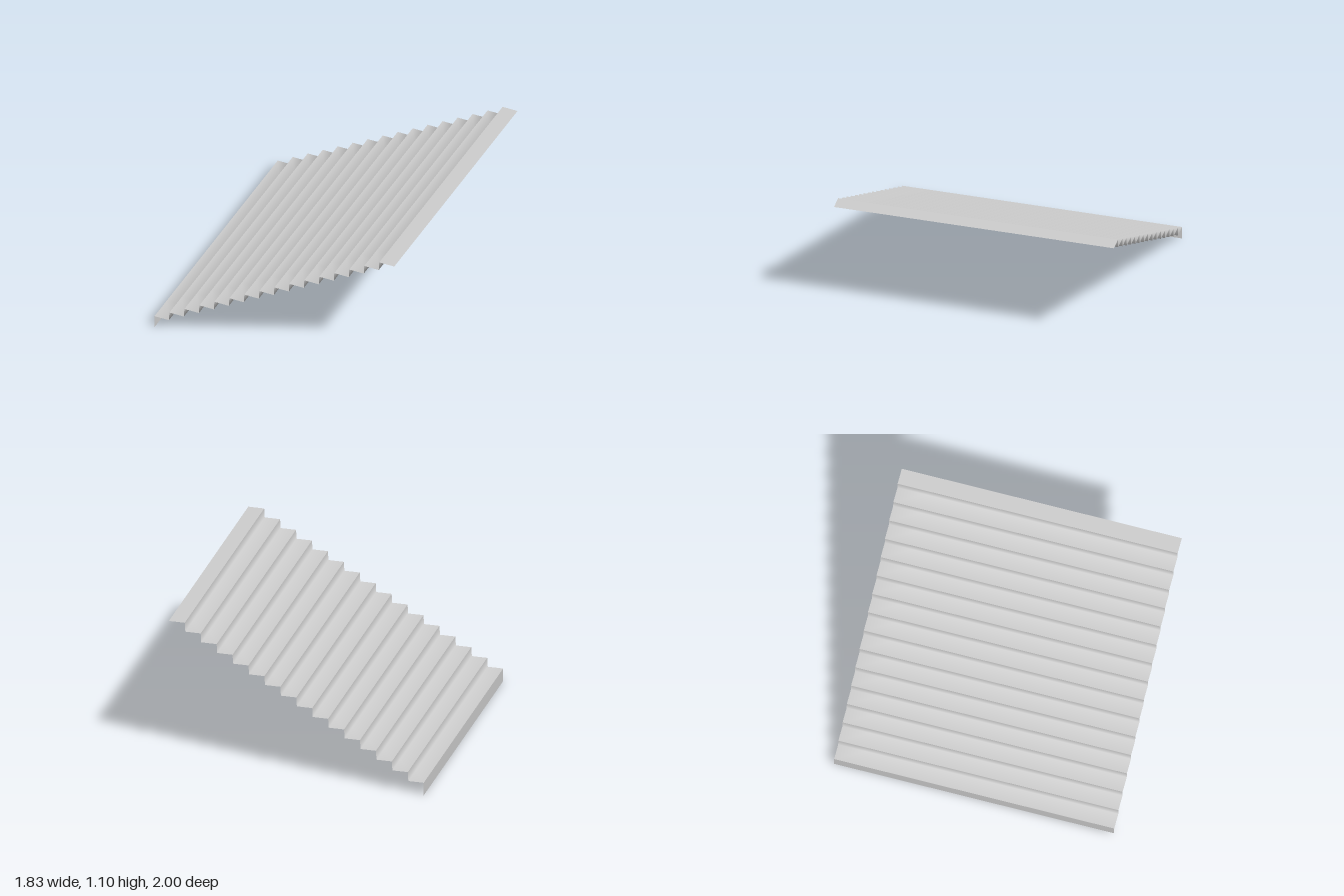
import * as THREE from 'three';

const STEPS = 16, HALF_X = 0.915, HALF_Z = 1;
const RUN = (2 * HALF_X) / STEPS;   // tread depth
const FIRST = 0.095;                // height of the bottom riser
const RISE = (1.095 - FIRST) / (STEPS - 1);
const LEAN = 0.004;                 // slight slope of the risers

const material = new THREE.MeshStandardMaterial({ color: 0xcccccc, side: THREE.DoubleSide });

// Sweeps an open profile of [x, y] points along z; inner folds are shaded smoothly.
function foldedStrip(name, profile) {
  const positions = [], index = [], slices = 10, n = profile.length;
  for (let s = 0; s <= slices; s++) {
    const z = -HALF_Z + (2 * HALF_Z * s) / slices;
    for (const [x, y] of profile) positions.push(x, y, z);
  }
  for (let s = 0; s < slices; s++) {
    for (let i = 0; i < n - 1; i++) {
      const a = s * n + i, b = a + n;
      index.push(a, b, b + 1, a, b + 1, a + 1);
    }
  }
  const geometry = new THREE.BufferGeometry();
  geometry.setAttribute('position', new THREE.Float32BufferAttribute(positions, 3));
  geometry.setIndex(index);
  geometry.computeVertexNormals();
  const mesh = new THREE.Mesh(geometry, material);
  mesh.name = name;
  return mesh;
}

export function createModel() {
  const stairs = new THREE.Group();
  stairs.name = 'stairs';

  // Bottom riser
  stairs.add(foldedStrip('bottomRiser', [[-HALF_X, 0], [-HALF_X, FIRST]]));

  // Each tread folds up into the riser behind it; the nosings stay sharp
  for (let i = 0; i < STEPS; i++) {
    const x = -HALF_X + i * RUN, y = FIRST + i * RISE;
    const last = i === STEPS - 1;
    const profile = last
      ? [[x, y], [x + RUN, y]]
      : [[x, y], [x + RUN - LEAN, y], [x + RUN, y + RISE]];
    stairs.add(foldedStrip(last ? 'topTread' : `step${i + 1}`, profile));
  }
  return stairs;
}
